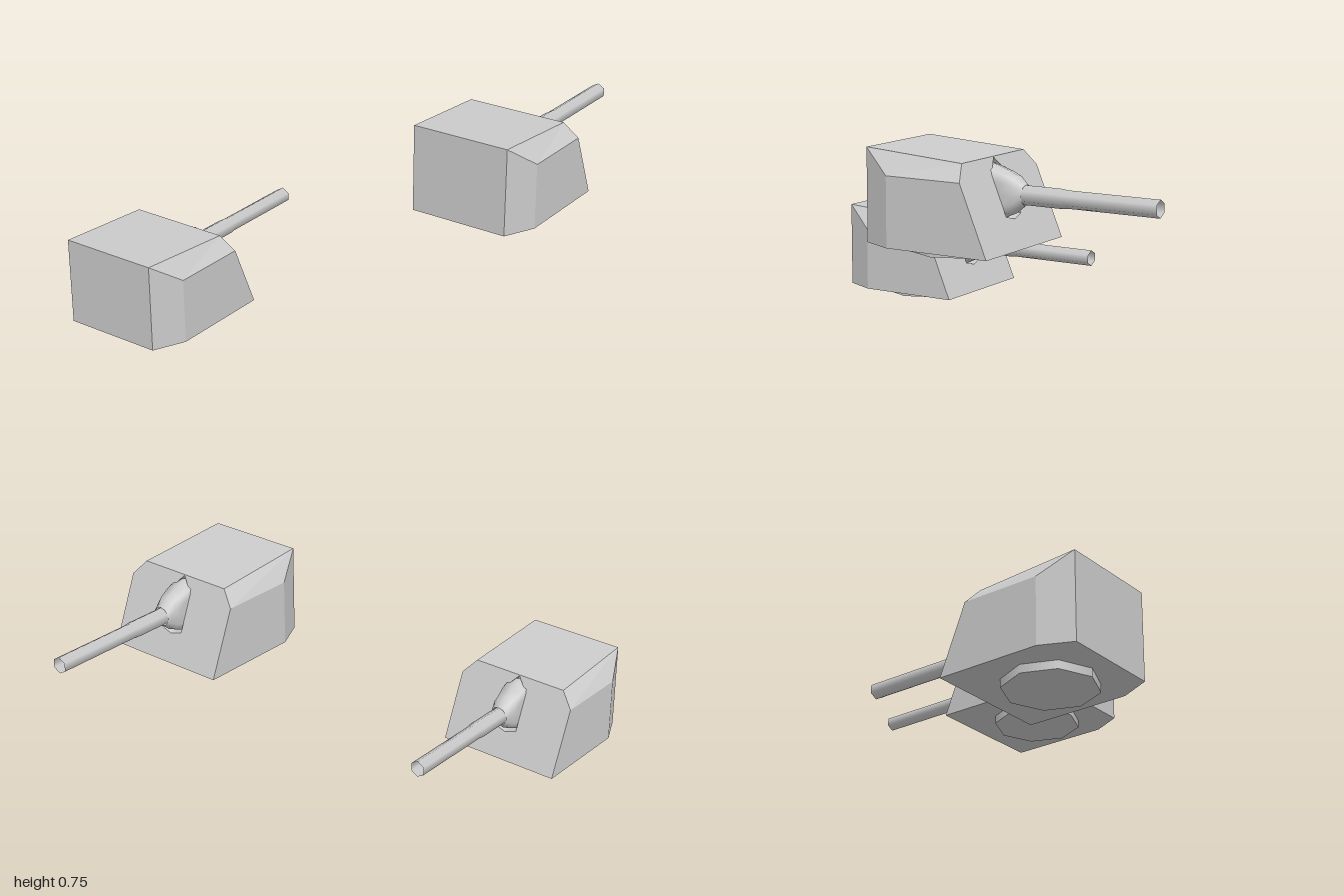
import * as THREE from 'three';

const grey = new THREE.MeshStandardMaterial({ color: 0xcccccc });
const greyDouble = new THREE.MeshStandardMaterial({ color: 0xcccccc, side: THREE.DoubleSide });

// The front plate leans back: depth as a function of height
const frontZ = (y) => 0.262 - 0.417 * (y - 0.03);
const mirror = ([x, y, z]) => [-x, y, z];

function named(name, geometry, material = grey) {
  const mesh = new THREE.Mesh(geometry, material);
  mesh.name = name;
  return mesh;
}

// Flat-faced geometry from convex polygons
function polygons(faces) {
  const pos = [];
  for (const f of faces)
    for (let i = 1; i < f.length - 1; i++) pos.push(...f[0], ...f[i], ...f[i + 1]);
  const g = new THREE.BufferGeometry();
  g.setAttribute('position', new THREE.Float32BufferAttribute(pos, 3));
  g.computeVertexNormals();
  return g;
}

// Surface of revolution along +z from [radius, z] points
function turned(profile, sides) {
  const g = new THREE.LatheGeometry(profile.map(([r, z]) => new THREE.Vector2(r, z)), sides);
  return g.rotateX(Math.PI / 2);
}

function armourBody() {
  const A = [0.239, 0.03, 0.262], B = [0.239, 0.27, frontZ(0.27)], C = [0.19, 0.325, frontZ(0.325)];
  const D = [0.186, 0.35, -0.237], E = [0.239, 0.27, -0.123], F = [0.239, 0.03, -0.123];
  const G = [0.186, 0.03, -0.237];
  const side = [[A, F, E, B], [F, G, D, E], [B, E, D, C]];
  const m = mirror;
  return polygons([
    ...side,
    ...side.map((f) => f.map(m).reverse()),
    [C, D, m(D), m(C)],
    [G, m(G), m(D), D],
    [A, m(A), m(F), m(G), G, F],
  ]);
}

// Outline of the gun slot in the front plate
const slot = [[0, 0.322], [-0.046, 0.272], [-0.046, 0.137], [0, 0.125], [0.046, 0.137], [0.046, 0.272]];

function frontPlate() {
  const vec = ([x, y]) => new THREE.Vector2(x, y);
  const shape = new THREE.Shape(
    [[-0.239, 0.03], [0.239, 0.03], [0.239, 0.27], [0.19, 0.325], [-0.19, 0.325], [-0.239, 0.27]].map(vec));
  shape.holes.push(new THREE.Path(slot.map(vec)));
  const g = new THREE.ShapeGeometry(shape);
  const p = g.attributes.position;
  for (let i = 0; i < p.count; i++) p.setZ(i, frontZ(p.getY(i)));
  g.computeVertexNormals();
  return g;
}

function slotWalls() {
  const rim = slot.map(([x, y]) => [x, y, frontZ(y)]);
  const back = slot.map(([x, y]) => [x, y, 0.08]);
  const walls = rim.map((p, i) => {
    const j = (i + 1) % rim.length;
    return [p, rim[j], back[j], back[i]];
  });
  return polygons([...walls, back]);
}

// Flared gun shield, trimmed to the width of the slot
function mantlet() {
  const g = turned([[0.1, 0.13], [0.08, 0.19], [0.063, 0.23], [0.034, 0.265]], 12);
  const p = g.attributes.position;
  for (let i = 0; i < p.count; i++) p.setX(i, THREE.MathUtils.clamp(p.getX(i), -0.045, 0.045));
  g.computeVertexNormals();
  return g;
}

function turret(name) {
  const group = new THREE.Group();
  group.name = name;

  const base = named('turntable', new THREE.CylinderGeometry(0.163, 0.163, 0.05, 8));
  base.position.y = 0.025;

  // Mantlet and open-ended barrel share the gun axis
  const gun = new THREE.Group();
  gun.name = 'gun';
  gun.position.y = 0.207;
  gun.add(
    named('mantlet', mantlet(), greyDouble),
    named('barrel', turned([[0.033, 0.2], [0.033, 0.4], [0.03, 0.42], [0.03, 0.752]], 6), greyDouble),
  );

  group.add(
    base,
    named('armourBody', armourBody()),
    named('frontPlate', frontPlate()),
    named('gunSlot', slotWalls(), greyDouble),
    gun,
  );
  group.rotation.y = Math.atan2(0.63, -0.777);
  return group;
}

export function createModel() {
  const model = new THREE.Group();
  model.name = 'turretPair';
  const lower = turret('lowerTurret');
  lower.position.set(-0.71, 0, 0.148);
  const upper = turret('upperTurret');
  upper.position.set(0.498, 0.402, 0.148);
  model.add(lower, upper);
  return model;
}
